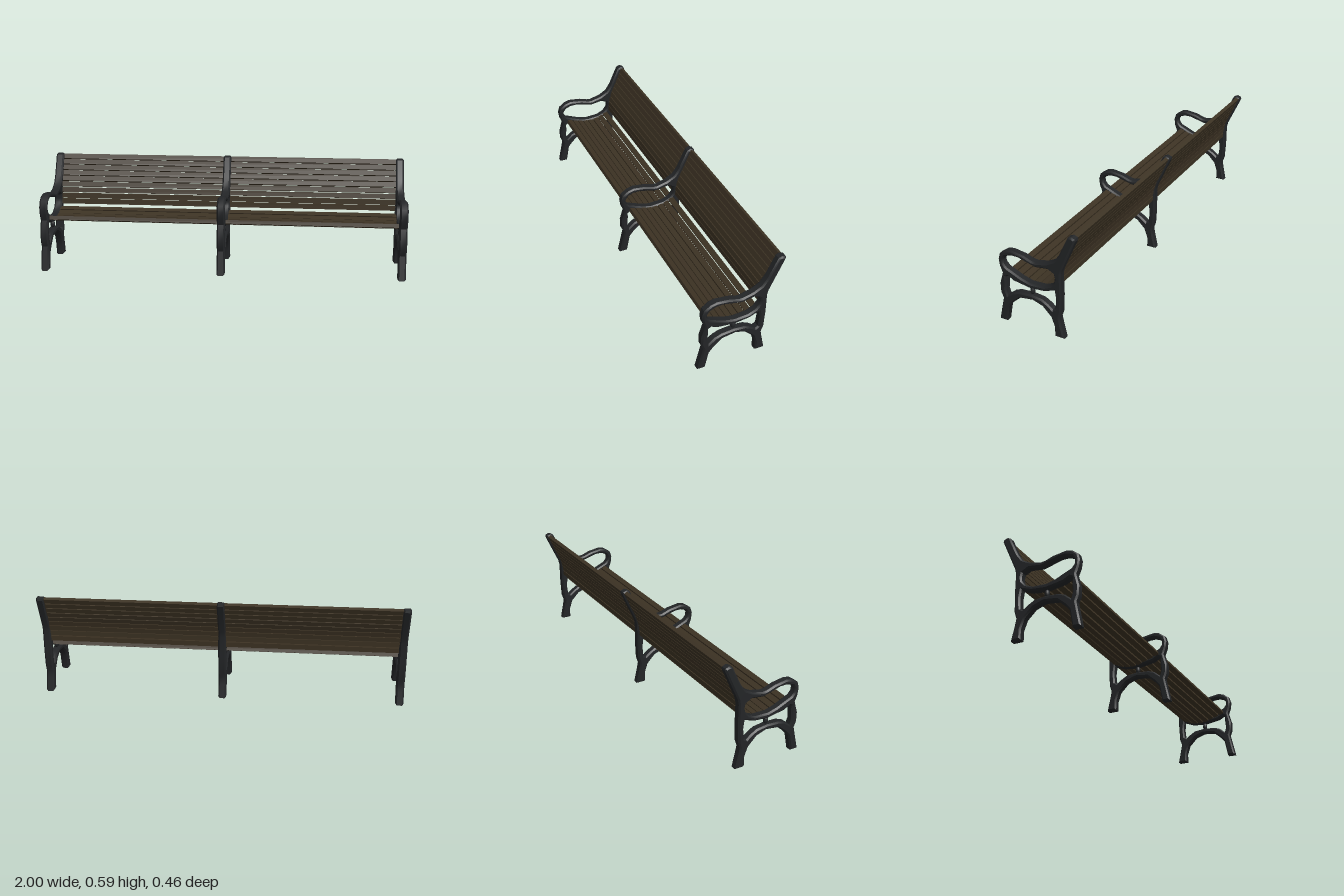
import * as THREE from 'three';
import { toCreasedNormals } from 'three/addons/utils/BufferGeometryUtils.js';

const iron = new THREE.MeshStandardMaterial({ name: 'dark iron', color: 0x232527 });
const wood = new THREE.MeshStandardMaterial({ name: 'dark wood', color: 0x3c3223 });

const FRAME_WIDTH = 0.044;
const BEVEL = 0.008;

// Frame profiles as [z, y] points
const outline = [
  [0.229, 0], [0.185, 0], [0.167, 0.093], [0.142, 0.123], [0.097, 0.163], [0.026, 0.173],
  [-0.031, 0.154], [-0.078, 0.107], [-0.096, 0.054], [-0.096, 0], [-0.149, 0], [-0.133, 0.073],
  [-0.125, 0.116], [-0.137, 0.152], [-0.142, 0.246], [-0.142, 0.363], [-0.149, 0.393],
  [-0.228, 0.568], [-0.226, 0.579], [-0.206, 0.587], [-0.187, 0.579], [-0.137, 0.473],
  [-0.108, 0.432], [-0.063, 0.407], [-0.003, 0.393], [0.019, 0.395], [0.065, 0.411],
  [0.135, 0.421], [0.169, 0.413], [0.203, 0.388], [0.213, 0.354], [0.208, 0.316],
  [0.194, 0.279], [0.213, 0.214], [0.212, 0.163], [0.199, 0.132],
];
const armHole = [
  [0.187, 0.357], [0.172, 0.38], [0.138, 0.393], [0.101, 0.393], [0.001, 0.367], [-0.069, 0.377],
  [-0.103, 0.359], [-0.108, 0.336], [-0.104, 0.314], [-0.083, 0.288], [-0.044, 0.27],
  [0.033, 0.266], [0.083, 0.279], [0.169, 0.316], [0.185, 0.336],
];
const lowerHole = [
  [0.162, 0.27], [0.13, 0.252], [0.033, 0.237], [-0.049, 0.246], [-0.104, 0.268], [-0.11, 0.22],
  [-0.104, 0.163], [-0.09, 0.154], [-0.063, 0.175], [-0.031, 0.193], [0.03, 0.2], [0.101, 0.195],
  [0.138, 0.182], [0.171, 0.154], [0.18, 0.184], [0.175, 0.237], [0.177, 0.262],
];
const toPoints = (list) => list.map(([z, y]) => new THREE.Vector2(z, y));

function frameGeometry() {
  const shape = new THREE.Shape(toPoints(outline));
  shape.holes.push(new THREE.Path(toPoints(armHole)), new THREE.Path(toPoints(lowerHole)));
  const geometry = new THREE.ExtrudeGeometry(shape, {
    depth: FRAME_WIDTH - 2 * BEVEL,
    bevelEnabled: true,
    bevelThickness: BEVEL,
    bevelSize: BEVEL,
    bevelOffset: -BEVEL,
    bevelSegments: 1,
  });
  geometry.translate(0, 0, -(FRAME_WIDTH - 2 * BEVEL) / 2);
  geometry.rotateY(-Math.PI / 2);
  return toCreasedNormals(geometry, 0.6);
}

// Evenly spaced planks that turn with a [z, y] curve
function slatRow(name, points, count, width) {
  const row = new THREE.Group();
  row.name = name;
  const curve = new THREE.CatmullRomCurve3(points.map(([z, y]) => new THREE.Vector3(0, y, z)));
  const geometry = new THREE.BoxGeometry(1.95, 0.02, width);
  for (let i = 0; i < count; i++) {
    const u = i / (count - 1);
    const tangent = curve.getTangentAt(u);
    const slat = new THREE.Mesh(geometry, wood);
    slat.name = name + 'Slat';
    slat.position.copy(curve.getPointAt(u));
    slat.rotation.x = Math.atan2(-tangent.y, tangent.z);
    row.add(slat);
  }
  return row;
}

export function createModel() {
  const bench = new THREE.Group();
  bench.name = 'bench';

  // Three cast frames, each with an oval boss below the seat
  const casting = frameGeometry();
  const boss = new THREE.SphereGeometry(1, 10, 8);
  for (const x of [-0.978, 0, 0.978]) {
    const frame = new THREE.Group();
    frame.name = 'sideFrame';
    frame.position.x = x;
    const body = new THREE.Mesh(casting, iron);
    body.name = 'castFrame';
    const oval = new THREE.Mesh(boss, iron);
    oval.name = 'ovalBoss';
    oval.scale.set(0.014, 0.022, 0.013);
    oval.position.set(0, 0.219, 0.032);
    frame.add(body, oval);
    bench.add(frame);
  }

  // Dished seat and curved back
  bench.add(slatRow('seat',
    [[0.152, 0.286], [0.09, 0.266], [0.03, 0.252], [-0.045, 0.258], [-0.09, 0.277]], 8, 0.03));
  bench.add(slatRow('back',
    [[-0.123, 0.318], [-0.127, 0.365], [-0.143, 0.42], [-0.173, 0.485], [-0.208, 0.565]], 9, 0.028));

  return bench;
}
